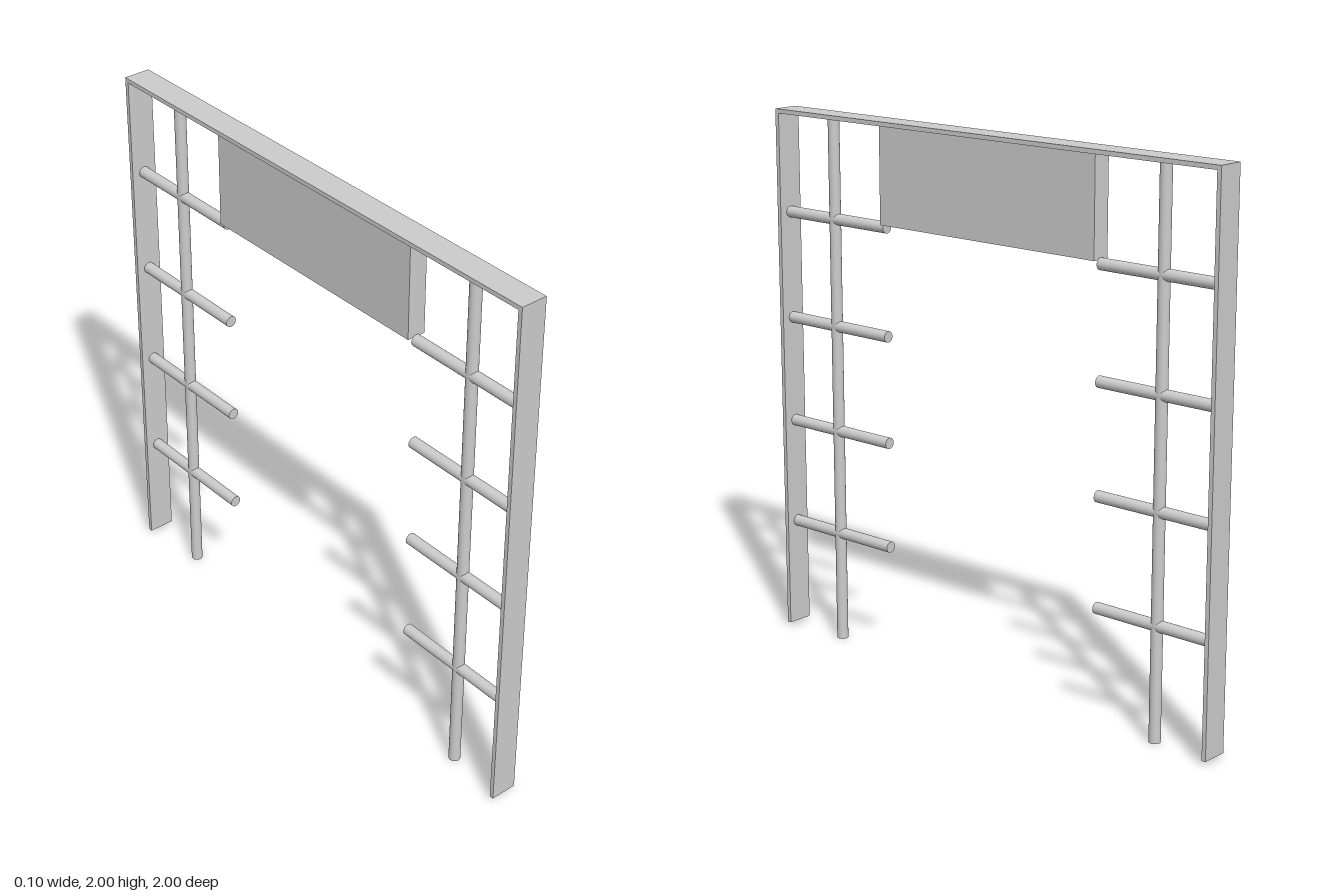
import * as THREE from 'three';

const material = new THREE.MeshStandardMaterial({ color: 0xcccccc });

function addBox(parent, name, size, position) {
  const mesh = new THREE.Mesh(new THREE.BoxGeometry(...size), material);
  mesh.name = name;
  mesh.position.set(...position);
  parent.add(mesh);
}

function addRod(parent, name, length, position, alongZ = false) {
  const mesh = new THREE.Mesh(new THREE.CylinderGeometry(0.021, 0.021, length, 24), material);
  mesh.name = name;
  mesh.position.set(...position);
  if (alongZ) mesh.rotation.x = Math.PI / 2;
  parent.add(mesh);
}

export function createModel() {
  const model = new THREE.Group();
  model.name = 'gateFrame';

  const width = 0.1, wall = 0.016, footY = 0.015;
  const inner = 1 - wall, barEnd = 0.488, panelBottom = 1.63;

  // Top beam and the panel hanging below it
  addBox(model, 'topBeam', [width, wall, 2], [0, 2 - wall / 2, 0]);
  const panelHeight = 2 - wall - panelBottom;
  addBox(model, 'hangingPanel', [0.07, panelHeight, barEnd * 2], [0, panelBottom + panelHeight / 2, 0]);

  // Each side: flat upright, round post and four crossbars
  for (const side of [1, -1]) {
    const group = new THREE.Group();
    group.name = side > 0 ? 'frontSide' : 'backSide';
    const uprightHeight = 2 - wall - footY;
    addBox(group, 'upright', [width, uprightHeight, wall], [0, footY + uprightHeight / 2, side * (1 - wall / 2)]);
    addRod(group, 'post', 2 - wall, [0, (2 - wall) / 2, side * 0.75]);
    for (let i = 0; i < 4; i++) {
      addRod(group, 'crossbar', inner - barEnd, [0, 0.419 + i * 0.399, side * (inner + barEnd) / 2], true);
    }
    model.add(group);
  }
  return model;
}
